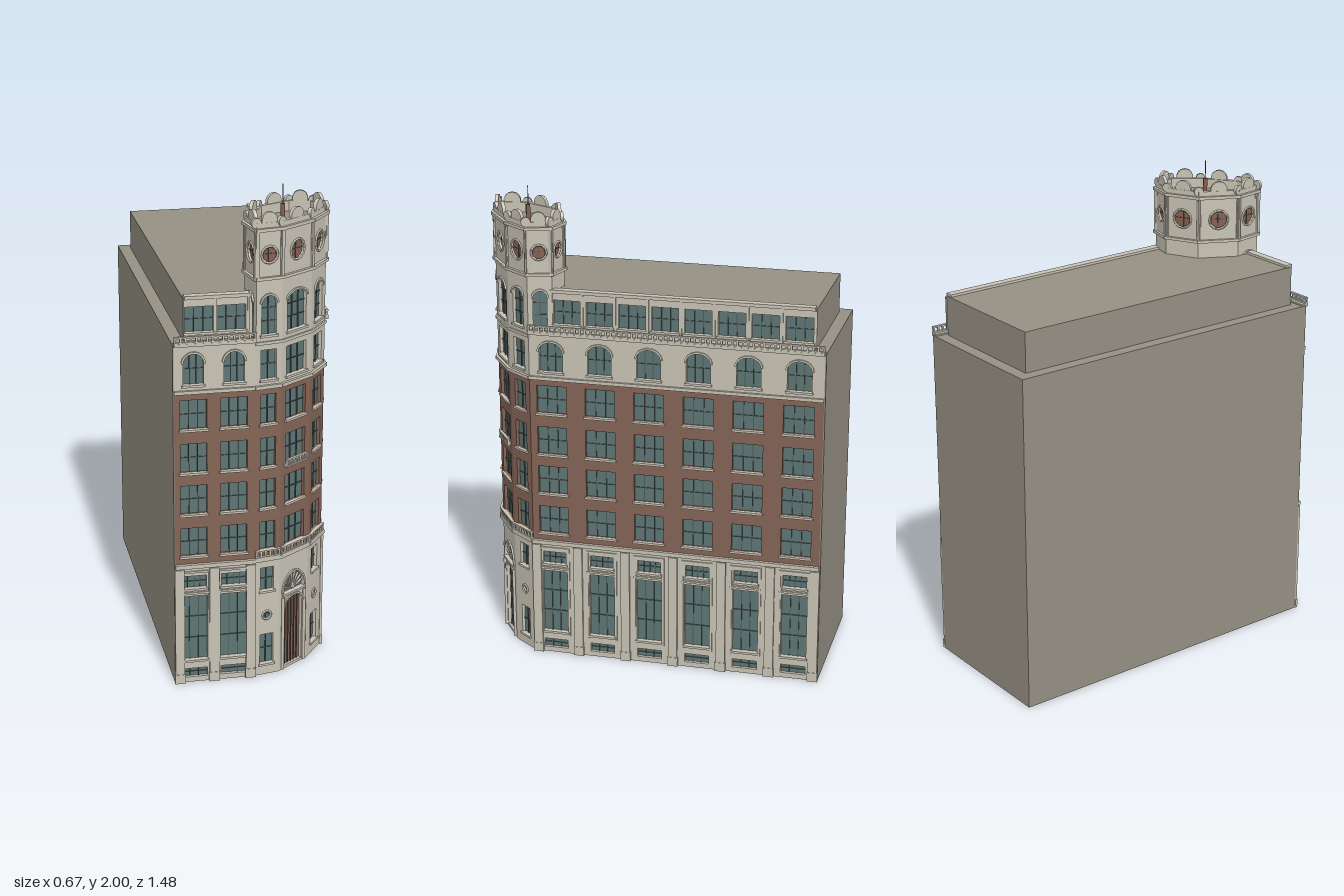
import * as THREE from 'three';

const mat = (name, color) => Object.assign(new THREE.MeshStandardMaterial({ color }), { name });
const stone = mat('cream stone', 0xc8c3b5), brick = mat('brick', 0x846456), glass = mat('glass', 0x5d7674);
const roof = mat('grey render', 0x959084), wood = mat('red-brown wood', 0x87604f), frame = mat('window frame', 0x4e5957);

function add(parent, name, geo, material, x = 0, y = 0, z = 0) {
  const m = new THREE.Mesh(geo, material);
  m.name = name;
  m.position.set(x, y, z);
  parent.add(m);
  return m;
}
const box = (p, name, m, x0, x1, y0, y1, z0, z1) =>
  add(p, name, new THREE.BoxGeometry(x1 - x0, y1 - y0, z1 - z0), m, (x0 + x1) / 2, (y0 + y1) / 2, (z0 + z1) / 2);

// Solid from a plan outline of [x, z] points
function prism(parent, name, pts, y0, y1, material) {
  const s = new THREE.Shape(pts.map(([x, z]) => new THREE.Vector2(x, -z)));
  const g = new THREE.ExtrudeGeometry(s, { depth: y1 - y0, bevelEnabled: false });
  g.rotateX(-Math.PI / 2);
  return add(parent, name, g, material, 0, y0, 0);
}

// Facade group: local x runs along the wall, local z points outward
function facade(parent, name, a, b) {
  const g = new THREE.Group();
  const dx = b[0] - a[0], dz = b[1] - a[1];
  g.name = name;
  g.position.set(a[0], 0, a[1]);
  g.rotation.y = Math.atan2(-dz, dx);
  parent.add(g);
  return { g, L: Math.hypot(dx, dz) };
}

// Wall band with real openings; rise > 0 makes an arched head
function wall({ g, L }, name, material, y0, y1, openings = []) {
  const s = new THREE.Shape([[0, y0], [L, y0], [L, y1], [0, y1]].map(p => new THREE.Vector2(...p)));
  for (const o of openings) {
    const h = new THREE.Path(), r = o.w / 2, rise = o.rise || 0;
    if (o.round) h.absarc(o.x, o.y0, r, 0, Math.PI * 2, true);
    else {
      h.moveTo(o.x - r, o.y0);
      h.lineTo(o.x + r, o.y0);
      h.lineTo(o.x + r, o.y1 - rise);
      if (rise) h.absellipse(o.x, o.y1 - rise, r, rise, 0, Math.PI, false);
      else h.lineTo(o.x - r, o.y1);
      h.lineTo(o.x - r, o.y0);
    }
    s.holes.push(h);
    if (o.round) fillRound(g, o); else fillWindow(g, o);
  }
  const geo = new THREE.ExtrudeGeometry(s, { depth: 0.02, bevelEnabled: false, curveSegments: 8 });
  add(g, name, geo, material, 0, 0, -0.02);
}

function fillWindow(g, { x, w, y0, y1, cols = 3, rows = 2, rise = 0, sill = true, fill = glass }) {
  const l = x - w / 2;
  box(g, 'pane', fill, l, l + w, y0, y1, -0.018, -0.014);
  for (let i = 1; i < cols; i++) box(g, 'mullion', frame, l + w * i / cols - 0.0015, l + w * i / cols + 0.0015, y0, y1, -0.014, -0.009);
  for (let i = 1; i < rows; i++) {
    const y = y0 + (y1 - y0) * i / rows;
    box(g, 'transom', frame, l, l + w, y - 0.0015, y + 0.0015, -0.014, -0.01);
  }
  if (sill) box(g, 'sill', stone, l - 0.006, l + w + 0.006, y0 - 0.009, y0, -0.004, 0.009);
  if (rise) hood(g, x, y1 - rise, w / 2, rise);
}

// Raised moulding over an arched head
function hood(g, x, y, r, rise, t = 0.008) {
  const s = new THREE.Shape();
  s.absellipse(0, 0, r + t, rise + t, 0, Math.PI, false);
  s.absellipse(0, 0, r, rise, Math.PI, 0, true);
  add(g, 'archMoulding', new THREE.ExtrudeGeometry(s, { depth: 0.007, bevelEnabled: false, curveSegments: 8 }), stone, x, y, 0);
}

function fillRound(g, { x, y0, w, fill = glass }) {
  const r = w / 2;
  box(g, 'roundPane', fill, x - r, x + r, y0 - r, y0 + r, -0.018, -0.012);
  add(g, 'roundFrame', new THREE.TorusGeometry(r, 0.005, 4, 12), stone, x, y0, 0.001);
  box(g, 'roundMullion', frame, x - 0.0015, x + 0.0015, y0 - r, y0 + r, -0.012, -0.009);
  box(g, 'roundTransom', frame, x - r, x + r, y0 - 0.0015, y0 + 0.0015, -0.012, -0.009);
}

// Ledge whose ends meet the ledges of the neighbouring walls
const ledge = ({ g, L }, y0, y1, out, e = 0.4) => box(g, 'ledge', stone, -out * e, L + out * e, y0, y1, -0.015, out);

function balustrade({ g, L }, y0, y1, out, x0 = 0, x1 = L) {
  box(g, 'balustradeBase', stone, x0, x1, y0, y0 + 0.006, 0, out);
  box(g, 'balustradeRail', stone, x0, x1, y1 - 0.006, y1, out - 0.012, out);
  const n = Math.max(3, Math.round((x1 - x0) / 0.022));
  for (let i = 0; i <= n; i++) {
    const x = x0 + 0.004 + (x1 - x0 - 0.008) * i / n;
    box(g, 'baluster', stone, x - 0.004, x + 0.004, y0, y1 - 0.004, out - 0.01, out - 0.002);
  }
}

const floors = [[0.556, 0.675], [0.735, 0.855], [0.91, 1.03], [1.09, 1.21]];

// Long street walls
function streetWall(f, xs, wBrick, wArch) {
  const base = [];
  for (const x of xs) {
    base.push({ x, w: 0.105, y0: 0.022, y1: 0.06, cols: 3, rows: 2, sill: false });
    base.push({ x, w: 0.108, y0: 0.1, y1: 0.38, cols: 3, rows: 3 });
    base.push({ x, w: 0.1, y0: 0.415, y1: 0.468, cols: 4, rows: 2 });
    for (const s of [-1, 1]) box(f.g, 'bayTrim', stone, x + s * 0.062 - 0.004, x + s * 0.062 + 0.004, 0.085, 0.49, 0, 0.005);
    box(f.g, 'bayTrim', stone, x - 0.066, x + 0.066, 0.482, 0.49, 0, 0.005);
    box(f.g, 'bayTrim', stone, x - 0.066, x + 0.066, 0.39, 0.398, 0, 0.006);
  }
  wall(f, 'baseWall', stone, 0, 0.515, base);
  const gap = xs[1] - xs[0];
  for (let i = 0; i <= xs.length; i++) {
    const x = Math.min(Math.max(xs[0] + (i - 0.5) * gap, 0.016), f.L - 0.016);
    box(f.g, 'pilaster', stone, x - 0.019, x + 0.019, 0.04, 0.5, 0, 0.01);
    box(f.g, 'pilasterFoot', stone, x - 0.022, x + 0.022, 0, 0.04, 0, 0.012);
  }
  wall(f, 'brickWall', brick, 0.515, 1.24, floors.flatMap(([y0, y1]) => xs.map(x => ({ x, w: wBrick, y0, y1 }))));
  wall(f, 'upperWall', stone, 1.24, 1.44, xs.map(x => ({ x, w: wArch, y0: 1.272, y1: 1.398, rise: 0.04 })));
  ledge(f, 0.505, 0.522, 0.014, 0);
  ledge(f, 1.236, 1.25, 0.01, 0);
  ledge(f, 1.43, 1.442, 0.015, 0);
  balustrade(f, 1.442, 1.47, 0.014);
}

export function createModel() {
  const model = new THREE.Group();
  model.name = 'cornerBuilding';

  // Plain rear, left side and flat roof
  prism(model, 'core', [[-0.33, -0.735], [0.31, -0.735], [0.31, -0.73], [0.29, -0.73], [0.302, 0.488], [0.226, 0.59],
    [0.092, 0.685], [-0.008, 0.704], [-0.326, 0.705], [-0.326, 0.725], [-0.33, 0.725]], 0, 1.436, roof);

  // Tower plan, anticlockwise from the front; the first three facets reach the ground
  const plan = [[-0.005, 0.725], [0.1, 0.705], [0.24, 0.605], [0.322, 0.495], [0.29, 0.4], [0.19, 0.378], [0.055, 0.445], [-0.025, 0.6]];

  streetWall(facade(model, 'frontWall', [-0.326, 0.725], plan[0]), [0.076, 0.236], 0.105, 0.08);
  streetWall(facade(model, 'sideWall', plan[3], [0.31, -0.73]),
    [0, 1, 2, 3, 4, 5].map(i => 0.093 + i * 0.2064), 0.125, 0.1);

  // Penthouse
  prism(model, 'penthouseCore', [[-0.28, -0.685], [0.275, -0.685], [0.275, -0.681], [0.255, -0.681], [0.265, 0.4],
    [0, 0.66], [-0.276, 0.66], [-0.276, 0.68], [-0.28, 0.68]], 1.43, 1.604, roof);
  const pents = [[facade(model, 'penthouseFront', [-0.276, 0.68], [-0.01, 0.68]), [0.057, 0.184]],
    [facade(model, 'penthouseSide', [0.288, 0.41], [0.275, -0.681]), [0, 1, 2, 3, 4, 5, 6, 7].map(i => 0.07 + i * 0.137)]];
  for (const [f, xs] of pents) {
    wall(f, 'penthouseWall', stone, 1.43, 1.605, xs.map(x => ({ x, w: 0.112, y0: 1.468, y1: 1.57 })));
    box(f.g, 'penthouseCap', stone, 0, f.L, 1.6, 1.614, -0.028, 0.007);
    for (const x of xs) box(f.g, 'penthousePier', stone, x + 0.062, x + 0.07, 1.46, 1.6, 0, 0.005);
  }

  // Tower core and deck
  const centre = [0.135, 0.545];
  prism(model, 'towerCore', plan.map(p => p.map((v, i) => centre[i] + (v - centre[i]) * 0.86)), 1.43, 1.855, roof);

  plan.forEach((a, i) => {
    const f = facade(model, 'towerFacet', a, plan[(i + 1) % 8]), { g, L } = f, x = L / 2;
    const w = [0.065, 0.115, 0.075, 0.06, 0, 0, 0, 0.065][i], cols = i === 1 ? 3 : 2;
    if (i < 3) {
      // Ground stage
      if (i === 1) {
        wall(f, 'entranceWall', stone, 0, 0.515, [
          { x, w: 0.108, y0: 0.012, y1: 0.318, rise: 0.04, cols: 6, rows: 1, sill: false, fill: wood },
          { x, w: 0.126, y0: 0.338, y1: 0.422, rise: 0.08, cols: 1, rows: 1 }]);
        for (let k = 1; k < 10; k++) {
          const t = Math.PI * k / 10, rib = box(g, 'fanRib', stone, -0.002, 0.002, -0.032, 0.032, -0.014, -0.004);
          rib.position.set(x + Math.cos(t) * 0.035, 0.34 + Math.sin(t) * 0.043, -0.009);
          rib.rotation.z = t - Math.PI / 2;
        }
        for (const s of [-1, 1]) add(g, 'entranceColumn', new THREE.CylinderGeometry(0.007, 0.007, 0.32, 8), stone, x + s * 0.065, 0.165, 0.004);
      } else {
        wall(f, 'towerBaseWall', stone, 0, 0.515, [
          { x, w: 0.058, y0: 0.05, y1: 0.18, cols: 2 }, { x, y0: 0.265, w: 0.036, round: true },
          { x, w: 0.058, y0: 0.375, y1: 0.475, cols: 2 }]);
      }
      wall(f, 'towerBrickWall', brick, 0.515, 1.24, floors.map(([y0, y1]) => ({ x, w, y0, y1, cols })));
      wall(f, 'towerUpperWall', stone, 1.24, 1.44, [{ x, w, y0: 1.272, y1: 1.392, cols }]);
      ledge(f, 0.508, 0.522, 0.014);
      balustrade(f, 0.522, 0.556, 0.014);
      ledge(f, 1.236, 1.25, 0.012);
      ledge(f, 1.415, 1.427, 0.007);
      if (i === 1) balustrade(f, 0.893, 0.925, 0.016, x - 0.062, x + 0.062);
    }
    // Belfry stage and drum
    wall(f, 'belfryWall', stone, 1.44, 1.68, w ? [{ x, w: w * 0.95, y0: 1.453, y1: 1.61, rise: 0.03, cols, rows: 3 }] : []);
    wall(f, 'drumWall', stone, 1.68, 1.895, [{ x, y0: 1.77, w: Math.min(0.08, L * 0.62), round: true, fill: wood }]);
    ledge(f, 1.672, 1.684, 0.012);
    ledge(f, 1.862, 1.875, 0.012);
    for (const s of [0, L]) box(g, 'cornerPost', stone, s - 0.008, s + 0.008, 1.684, 1.862, -0.01, 0.005);
    // Scalloped parapet
    const disc = (px, r, top) => {
      const m = new THREE.CylinderGeometry(r, r, 0.014, 14, 1);
      m.rotateX(Math.PI / 2);
      add(g, 'scallop', m, stone, px, top - r, -0.008);
    };
    disc(x, Math.min(0.036, L * 0.3), 1.936);
    disc(0, 0.02, 1.915);
  });

  // Flagpole
  add(model, 'poleFoot', new THREE.CylinderGeometry(0.009, 0.009, 0.07, 8), wood, centre[0], 1.888, centre[1]);
  add(model, 'flagpole', new THREE.CylinderGeometry(0.0018, 0.0018, 0.1, 6), frame, centre[0], 1.95, centre[1]);
  return model;
}
